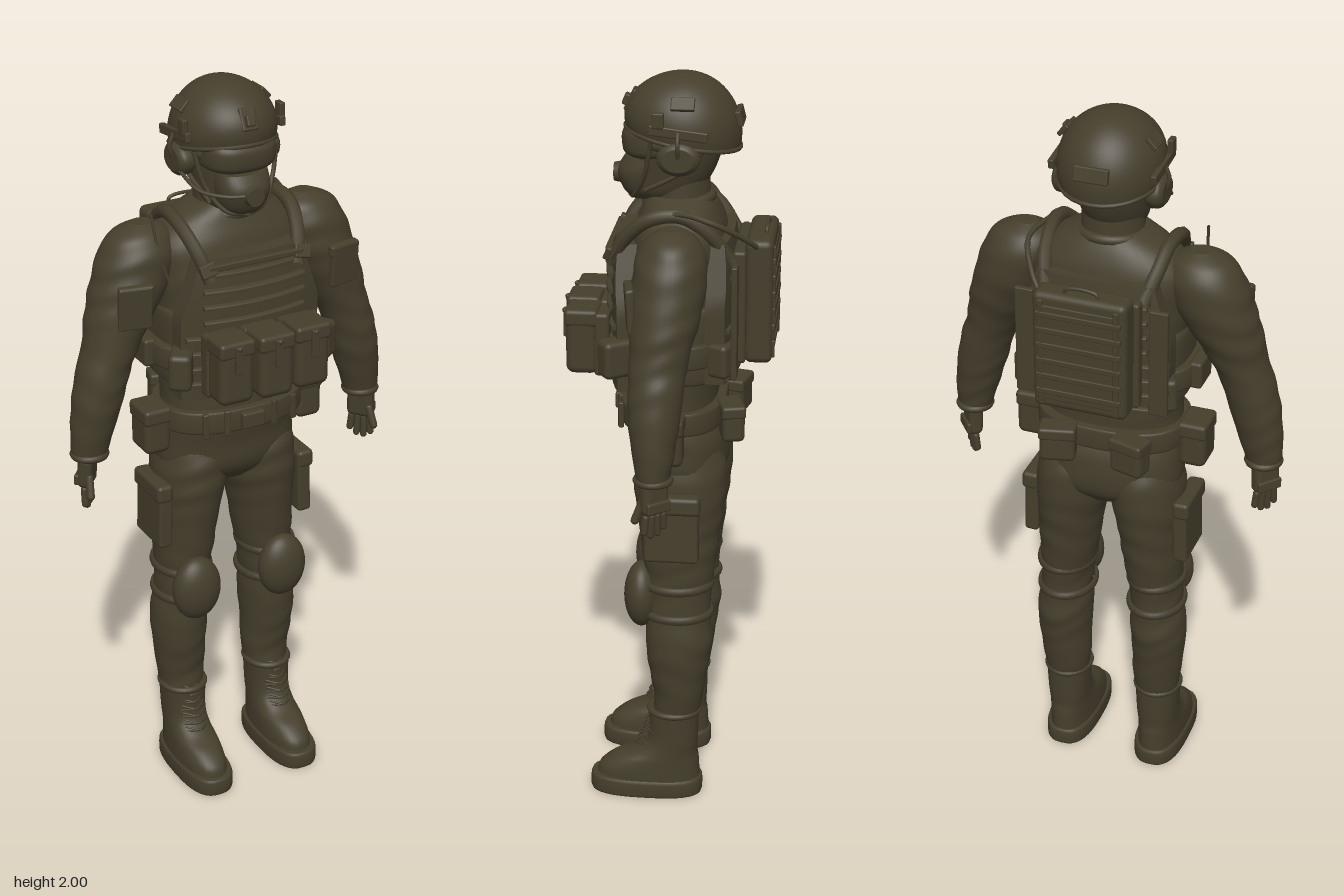
import * as THREE from 'three';
import { RoundedBoxGeometry } from 'three/addons/geometries/RoundedBoxGeometry.js';

const olive = new THREE.MeshStandardMaterial({ color: 0x453e2c, side: THREE.DoubleSide });
olive.name = 'dark olive';

// Smooth loft through horizontal rings [y, cx, cz, rx, rz], listed from bottom to top
function loft(rows, { power = 2, folds = 0, freq = 75, sub = 6, seg = 36, side = 1 } = {}) {
  const pos = [], idx = [], rings = (rows.length - 1) * sub;
  const row = i => rows[Math.max(0, Math.min(rows.length - 1, i))];
  for (let r = 0; r <= rings; r++) {
    const i = Math.min(Math.floor(r / sub), rows.length - 2), t = r / sub - i;
    const [y, cx, cz, rx, rz] = row(i).map((b, k) => {
      const a = row(i - 1)[k], c = row(i + 1)[k], d = row(i + 2)[k];
      return b + 0.5 * t * (c - a + t * (2 * a - 5 * b + 4 * c - d + t * (3 * (b - c) + d - a)));
    });
    for (let j = 0; j < seg; j++) {
      const a = j / seg * Math.PI * 2, c = Math.cos(a), s = Math.sin(a);
      const f = 1 + folds * Math.sin(y * freq + 1.6 * Math.sin(a * 2 + y * 9)) * (0.6 + 0.4 * Math.sin(a + y * 20));
      const p = 2 / power;
      pos.push(side * cx + Math.sign(c) * Math.abs(c) ** p * rx * f, y, cz + Math.sign(s) * Math.abs(s) ** p * rz * f);
    }
  }
  for (let r = 0; r < rings; r++) for (let j = 0; j < seg; j++) {
    const a = r * seg + j, b = r * seg + (j + 1) % seg;
    idx.push(a, a + seg, b, b, a + seg, b + seg);
  }
  // end caps with their own corners so the rims stay crisp
  for (const [r, up] of [[0, false], [rings, true]]) {
    const o = pos.length / 3;
    for (let j = 0; j < seg; j++) pos.push(...pos.slice((r * seg + j) * 3, (r * seg + j) * 3 + 3));
    for (let j = 1; j < seg - 1; j++) idx.push(o, o + (up ? j + 1 : j), o + (up ? j : j + 1));
  }
  const g = new THREE.BufferGeometry();
  g.setAttribute('position', new THREE.Float32BufferAttribute(pos, 3));
  g.setIndex(idx);
  g.computeVertexNormals();
  return g;
}

// Armour plate: a box narrowed towards its top and bent around the body
function plateGeometry(w, h, d, topScale, bend) {
  const g = new THREE.BoxGeometry(w, h, d, 12, 12, 1), p = g.attributes.position;
  for (let i = 0; i < p.count; i++) {
    const t = Math.max(0, (p.getY(i) / h - 0.08) / 0.42);
    const x = p.getX(i) * (1 - (1 - topScale) * t);
    p.setXYZ(i, x, p.getY(i), p.getZ(i) - bend * x * x - Math.sign(bend) * 0.015 * t * t);
  }
  g.computeVertexNormals();
  return g;
}

export function createModel() {
  const model = new THREE.Group();
  model.name = 'soldier';
  const add = (name, geo, x = 0, y = 0, z = 0, rx = 0, ry = 0, rz = 0) => {
    const m = new THREE.Mesh(geo, olive);
    m.name = name;
    m.position.set(x, y, z);
    m.rotation.set(rx, ry, rz);
    model.add(m);
    return m;
  };
  const box = (name, w, h, d, x, y, z, rx, ry, rz) =>
    add(name, new RoundedBoxGeometry(w, h, d, 3, Math.min(w, h, d) * 0.25), x, y, z, rx, ry, rz);
  const tube = (name, pts, r, closed = false) => add(name, new THREE.TubeGeometry(
    new THREE.CatmullRomCurve3(pts.map(p => new THREE.Vector3(...p)), closed), 32, r, 8, closed));

  // Torso, hips and neck
  add('torso', loft([[.9, 0, -.035, .06, .08], [.95, 0, -.035, .185, .118], [1.04, 0, -.03, .198, .125],
    [1.12, 0, -.01, .19, .118], [1.2, 0, -.01, .186, .118], [1.35, 0, -.01, .195, .13], [1.5, 0, -.02, .21, .135],
    [1.59, 0, -.025, .215, .12], [1.65, 0, -.025, .16, .1], [1.69, 0, -.02, .085, .08]], { power: 2.3, folds: .008, freq: 60 }));
  add('neck', new THREE.CylinderGeometry(.078, .085, .14, 32), 0, 1.69, -.02);
  add('collar', new THREE.TorusGeometry(.083, .014, 10, 36), 0, 1.672, -.02, Math.PI / 2 + .1);

  // Head, mask and goggles
  add('head', loft([[1.665, 0, .015, .045, .055], [1.7, 0, .01, .077, .09], [1.76, 0, -.008, .092, .108],
    [1.84, 0, -.02, .1, .118], [1.92, 0, -.03, .095, .11]]));
  add('faceMask', loft([[1.675, 0, .06, .04, .045], [1.7, 0, .065, .062, .06], [1.745, 0, .068, .072, .07],
    [1.785, 0, .06, .07, .058]], { power: 2.4 }));
  add('maskVent', new THREE.CylinderGeometry(.024, .028, .02, 24), 0, 1.735, .138, Math.PI / 2);
  add('goggles', loft([[1.79, 0, .035, .08, .075], [1.805, 0, .035, .098, .088], [1.845, 0, .035, .1, .09],
    [1.865, 0, .03, .095, .08]], { power: 2.6 }));
  add('goggleStrap', new THREE.TorusGeometry(.108, .009, 8, 40), 0, 1.83, -.02, Math.PI / 2).scale.set(1, 1.12, 1.6);

  // Helmet shell, its lower edge higher at the front than at the back
  const shell = new THREE.SphereGeometry(1, 48, 24, 0, Math.PI * 2, 0, Math.PI * .58), sp = shell.attributes.position;
  for (let i = 0; i < sp.count; i++) {
    const x = sp.getX(i), y = sp.getY(i), z = sp.getZ(i), low = Math.max(0, 1 - y);
    sp.setXYZ(i, x * .136, 1.865 + y * .135 + low * z * .022, z * .15 - .03);
  }
  shell.computeVertexNormals();
  add('helmet', shell);
  const rim = [];
  for (let i = 0; i < 24; i++) {
    const a = i / 24 * Math.PI * 2;
    rim.push([Math.cos(a) * .132, 1.836 + Math.sin(a) * .026, Math.sin(a) * .147 - .03]);
  }
  tube('helmetRim', rim, .006, true);
  box('helmetMount', .045, .06, .02, 0, 1.925, .1, -.45);
  box('helmetMountClip', .025, .03, .02, 0, 1.925, .113, -.4);
  box('helmetRearPanel', .09, .04, .016, 0, 1.89, -.175, .25);
  for (const s of [-1, 1]) {
    box('helmetRail', .016, .026, .15, s * .134, 1.872, -.03, -.12);
    box('helmetRailClip', .016, .04, .03, s * .138, 1.905, .02);
    box('helmetPatch', .012, .036, .06, s * .115, 1.942, -.04, 0, 0, s * .75);
    add('earCup', loft([[-.022, 0, 0, .036, .046], [-.012, 0, 0, .042, .054], [.012, 0, 0, .042, .054], [.024, 0, 0, .03, .04]],
      { sub: 3 }), s * .122, 1.805, -.03, 0, 0, -s * Math.PI / 2);
    tube('earCupArm', [[s * .142, 1.81, -.03], [s * .15, 1.84, -.03], [s * .138, 1.875, -.03]], .006);
    tube('chinStrap', [[s * .118, 1.84, .04], [s * .096, 1.75, .06], [s * .055, 1.69, .09], [0, 1.677, .106]], .006);
    tube('rearStrap', [[s * .11, 1.83, -.1], [s * .098, 1.76, -.03], [s * .085, 1.71, .06]], .006);
  }
  tube('microphone', [[-.14, 1.785, 0], [-.12, 1.75, .07], [-.07, 1.742, .125], [-.03, 1.742, .143]], .005);

  // Plate carrier
  add('frontPlate', plateGeometry(.4, .38, .05, .72, .9), 0, 1.395, .13);
  add('backPlate', plateGeometry(.4, .36, .05, .78, -.6), 0, 1.415, -.155);
  add('vestSides', loft([[1.225, 0, -.01, .2, .14], [1.25, 0, -.01, .207, .145], [1.4, 0, -.01, .208, .145],
    [1.43, 0, -.01, .2, .135]], { power: 3 }));
  add('cummerbund', loft([[1.28, 0, -.01, .23, .145], [1.285, 0, -.01, .236, .15], [1.335, 0, -.01, .236, .15],
    [1.34, 0, -.01, .23, .145]], { power: 2.8, sub: 2 }));
  for (let i = 0; i < 8; i++) {
    const y = 1.25 + i * .042, w = i < 4 ? .38 : .29;
    add('frontWebbing', plateGeometry(w, .015, .012, 1, .9), 0, y, .16 - (i > 6 ? .01 : 0));
    add('backWebbing', plateGeometry(w, .015, .012, 1, -.6), 0, y, -.184);
  }
  box('chestPanel', .27, .016, .014, 0, 1.568, .148);
  for (const x of [-.11, 0, .11]) {
    const z = x ? .218 : .227;
    box('magazinePouch', .098, .165, .084, x, 1.315, z);
    box('pouchFlap', .102, .045, .088, x, 1.385, z);
    box('pouchTab', .022, .075, .01, x, 1.36, z + .046);
    add('pouchSnap', new THREE.SphereGeometry(.007, 12, 8), x, 1.392, z + .048);
    box('pouchBacking', .1, .17, .04, x, 1.315, .165);
  }
  for (const s of [-1, 1]) {
    tube('shoulderStrap', [[s * .125, 1.53, .14], [s * .145, 1.6, .105], [s * .16, 1.655, .04], [s * .158, 1.665, -.04],
      [s * .15, 1.62, -.11], [s * .13, 1.55, -.16]], .019);
    box('strapBuckle', .045, .035, .016, s * .135, 1.565, .146, -.4, 0, -s * .2);
    box('sidePouch', .06, .1, .09, s * .2, 1.3, .12, 0, s * .6);
    box('cummerbundPouch', .035, .075, .09, s * .238, 1.31, -.02);
    box('rearSidePouch', .05, .09, .06, s * .19, 1.3, -.145, 0, -s * .5);
    box('backWing', .05, .3, .016, s * .18, 1.4, -.18);
  }
  tube('radioAntenna', [[-.2, 1.5, .07], [-.225, 1.6, .05], [-.235, 1.695, .03]], .004);

  // Back pack with slats, carry handle and drinking hose
  box('backPack', .25, .33, .072, 0, 1.432, -.236);
  box('packMount', .27, .3, .035, 0, 1.42, -.187);
  box('packPanel', .21, .27, .014, 0, 1.43, -.268);
  for (let i = 0; i < 6; i++) box('packSlat', .225, .016, .012, 0, 1.32 + i * .044, -.273);
  for (const s of [-1, 1]) box('packStrap', .014, .3, .012, s * .1, 1.43, -.272);
  tube('packHandle', [[-.045, 1.59, -.25], [-.04, 1.608, -.25], [.04, 1.608, -.25], [.045, 1.59, -.25]], .005);
  tube('drinkingHose', [[.11, 1.57, -.24], [.15, 1.61, -.2], [.19, 1.66, -.12], [.17, 1.675, -.03], [.16, 1.64, .08],
    [.15, 1.55, .14]], .007);

  // Belt and its pouches
  add('belt', loft([[1.085, 0, -.01, .198, .135], [1.09, 0, -.01, .204, .14], [1.14, 0, -.01, .204, .14],
    [1.145, 0, -.01, .198, .135]], { power: 2.5, sub: 2 }));
  box('beltBuckle', .065, .045, .025, 0, 1.115, .135);
  for (const s of [-1, 1]) {
    for (const x of [.07, .13]) box('beltLoop', .016, .07, .014, s * x, 1.115, .135 - x * .12, 0, s * .3);
    box('hipPouch', .075, .125, .1, s * .228, 1.085, -.005);
    box('hipPouchFlap', .079, .045, .104, s * .228, 1.13, -.005);
    box('rearBeltPouch', .095, .095, .06, s * .1, 1.1, -.168, 0, s * .25);
    box('rearBeltFlap', .099, .035, .064, s * .1, 1.135, -.168, 0, s * .25);
  }

  for (const s of [-1, 1]) {
    // Sleeve, arm patch and cuff
    add('arm', loft([[1.045, .412, .003, .045, .04], [1.1, .405, .003, .055, .05], [1.2, .385, .003, .067, .065],
      [1.29, .362, 0, .071, .071], [1.35, .338, -.004, .075, .075], [1.42, .311, -.012, .09, .085],
      [1.5, .276, -.02, .103, .094], [1.58, .25, -.025, .102, .09], [1.63, .24, -.025, .078, .068],
      [1.657, .235, -.025, .03, .026]], { folds: .022, freq: 85, sub: 8, side: s }));
    box('armPatch', .088, .115, .02, s * .305, 1.47, .073, .06, s * .18);
    box('armPatchFlap', .092, .03, .022, s * .302, 1.515, .074, .06, s * .18);
    add('cuff', new THREE.TorusGeometry(.042, .01, 8, 28), s * .411, 1.055, .003, Math.PI / 2);

    // Gloved hand
    const hand = new THREE.Group();
    hand.name = 'hand';
    hand.position.set(s * .418, 1, 0);
    hand.rotation.set(0, s * .7, s * .06);
    const part = (name, geo, x, y, z, rx = 0, rz = 0) => {
      const m = new THREE.Mesh(geo, olive);
      m.name = name;
      m.position.set(x, y, z);
      m.rotation.set(rx, 0, rz);
      hand.add(m);
    };
    part('palm', new RoundedBoxGeometry(.04, .09, .075, 4, .016), 0, .01, 0);
    part('knucklePad', new RoundedBoxGeometry(.014, .03, .07, 3, .005), s * .02, -.012, 0);
    for (let i = 0; i < 4; i++) {
      const l = [.04, .052, .05, .036][i];
      part('finger', new THREE.CapsuleGeometry(.0095, l, 4, 10), -s * .003, -.04 - l / 2, .028 - i * .0187, (1.5 - i) * -.06, -s * .12);
    }
    part('thumb', new THREE.CapsuleGeometry(.011, .05, 4, 10), -s * .018, -.025, .036, -.35, -s * .2);
    model.add(hand);

    // Trouser leg, cargo pocket and knee pad
    add('leg', loft([[.23, .135, -.025, .057, .062], [.3, .135, -.034, .067, .067], [.4, .139, -.033, .073, .082],
      [.47, .138, -.035, .077, .09], [.55, .133, -.032, .071, .088], [.62, .128, -.033, .072, .09],
      [.7, .122, -.035, .081, .098], [.8, .115, -.035, .088, .11], [.9, .107, -.035, .1, .122],
      [.98, .1, -.035, .098, .12], [1.03, .1, -.035, .08, .1]], { folds: .018, freq: 80, sub: 8, side: s }));
    box('cargoPocket', .04, .185, .145, s * .212, .83, -.022, 0, 0, s * .03);
    box('cargoFlap', .046, .05, .152, s * .215, .9, -.022, 0, 0, s * .03);
    const pad = add('kneePad', new THREE.SphereGeometry(1, 32, 20), s * .133, .6, .066);
    pad.scale.set(.07, .093, .048);
    const ridge = add('kneePadRidge', new THREE.TorusGeometry(1, .09, 8, 36), s * .133, .6, .08);
    ridge.scale.set(.058, .08, .05);
    for (const y of [.555, .64])
      add('kneeStrap', new THREE.TorusGeometry(.076, .007, 8, 32), s * .131, y, -.03, Math.PI / 2).scale.set(1, 1.2, 1.8);

    // Boot with sole and laces
    add('sole', loft([[0, .135, .055, .066, .15], [.008, .135, .055, .07, .155], [.042, .135, .055, .07, .155],
      [.05, .135, .055, .066, .15]], { power: 2.7, sub: 2, side: s }));
    add('boot', loft([[.045, .135, .05, .063, .143], [.075, .135, .046, .062, .138], [.105, .135, .028, .06, .118],
      [.13, .135, .002, .058, .088], [.17, .135, -.018, .058, .07], [.26, .135, -.022, .062, .068]], { power: 2.3, side: s }));
    add('bootCollar', new THREE.TorusGeometry(.06, .009, 8, 32), s * .135, .255, -.022, Math.PI / 2).scale.set(1, 1.1, 1);
    for (let i = 0; i < 8; i++) {
      const y = .125 + i * .019, z = .092 - i * .0075;
      for (const d of [-1, 1])
        tube('lace', [[s * .135 - .034, y - d * .007, z - .022], [s * .135, y, z], [s * .135 + .034, y + d * .007, z - .022]], .0028);
    }
  }
  return model;
}
